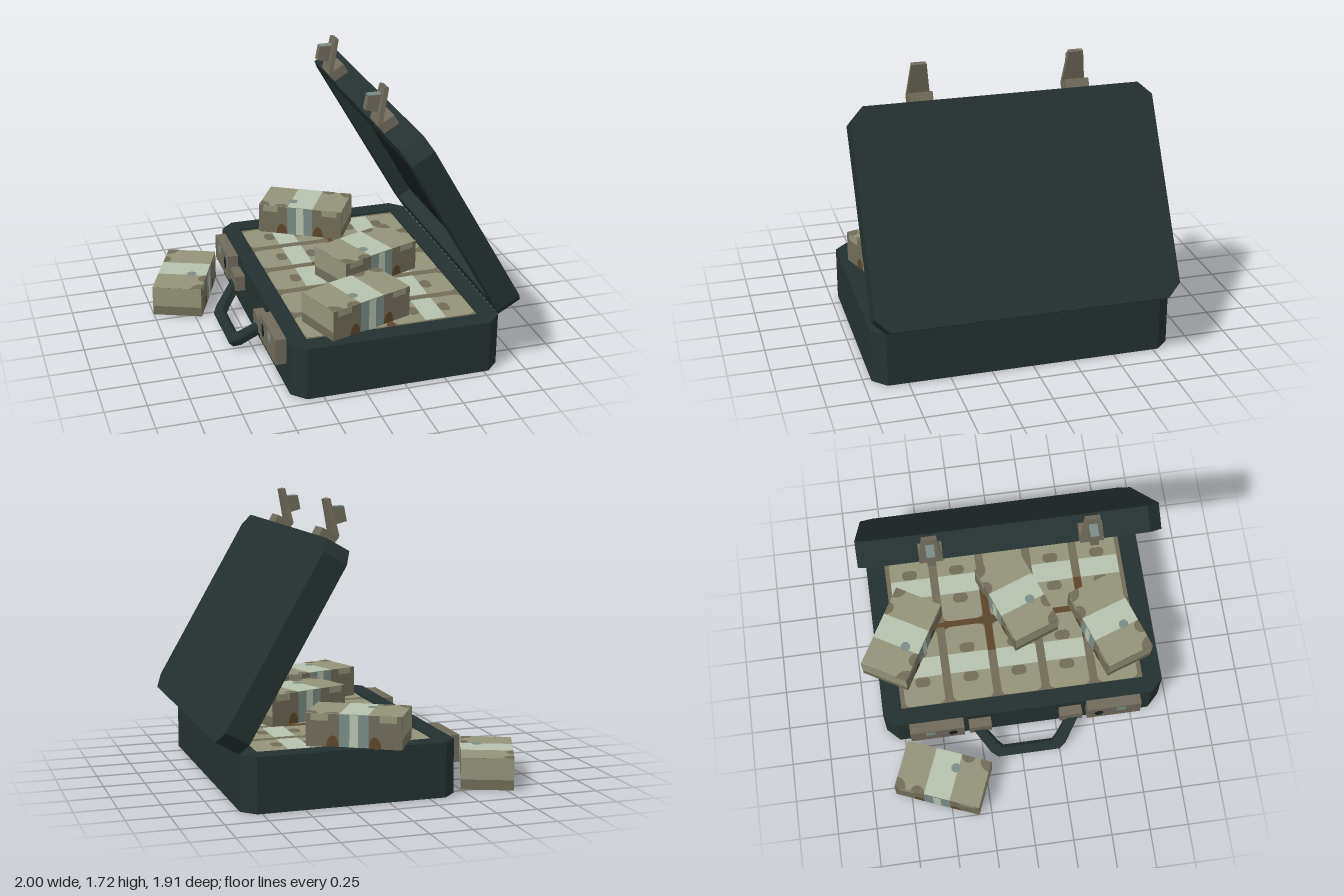
import * as THREE from 'three';

const mat = (name, color) => new THREE.MeshStandardMaterial({ name, color });

export function createModel() {
  const shell = mat('dark green shell', 0x243130);
  const lining = mat('dark lining', 0x172020);
  const tan = mat('note tan', 0x93937a);
  const khaki = mat('note khaki', 0x716c59);
  const band = mat('pale band', 0xb5c2ae);
  const teal = mat('band teal', 0x7a8c86);
  const brown = mat('brown', 0x5c462a);
  const metal = mat('latch metal', 0x6f6a5b);

  const model = new THREE.Group();
  model.name = 'openCase';

  const add = (parent, name, geo, material, x = 0, y = 0, z = 0) => {
    const mesh = new THREE.Mesh(geo, material);
    mesh.name = name;
    mesh.position.set(x, y, z);
    parent.add(mesh);
    return mesh;
  };
  const box = (parent, name, w, h, d, material, x, y, z) =>
    add(parent, name, new THREE.BoxGeometry(w, h, d), material, x, y, z);
  const poly = pts => new THREE.Shape(pts.map(p => new THREE.Vector2(...p)));
  // thin upward-facing patch
  const patch = (parent, name, geo, material, x, y, z) =>
    add(parent, name, geo.rotateX(-Math.PI / 2), material, x, y, z);

  // everything on the case is mirrored about this group's z = 0
  const brief = new THREE.Group();
  brief.name = 'case';
  brief.position.z = 0.045;
  model.add(brief);

  // chamfered outline in plan, x from x0 to x0 + L
  const L = 1.29, H = 0.907, C = 0.08, RIM = 0.11;
  const outline = x0 => poly([
    [x0 + C, -H], [x0 + L - C, -H], [x0 + L, -H + C], [x0 + L, H - C],
    [x0 + L - C, H], [x0 + C, H], [x0, H - C], [x0, -H + C]]);
  const slab = (x0, y0, y1, hollow) => {
    const s = outline(x0), a = x0 + RIM, b = x0 + L - RIM, h = H - RIM - 0.01;
    if (hollow) s.holes.push(new THREE.Path([[a, -h], [a, h], [b, h], [b, -h]].map(p => new THREE.Vector2(...p))));
    return new THREE.ExtrudeGeometry(s, { depth: y1 - y0, bevelEnabled: false }).rotateX(-Math.PI / 2).translate(0, y0, 0);
  };

  // base tray
  add(brief, 'baseFloor', slab(-0.43, 0, 0.1, false), shell);
  add(brief, 'baseWalls', slab(-0.43, 0.1, 0.328, true), shell);

  // lid, tilted about the hinge edge
  const lid = new THREE.Group();
  lid.name = 'lid';
  lid.position.set(0.86, 0.33, 0);
  lid.rotation.z = -Math.PI / 3;
  brief.add(lid);
  add(lid, 'lidWalls', slab(-L, 0, 0.1, true), shell);
  add(lid, 'lidPanel', slab(-L, 0.1, 0.157, false), shell);
  box(lid, 'lidLining', L - 2 * RIM, 0.006, 2 * (H - RIM - 0.01), lining, -L / 2, 0.098, 0);

  // packed contents: two columns of five bundles
  box(brief, 'packedNotes', L - 2 * RIM, 0.21, 1.574, khaki, 0.215, 0.21, 0);
  box(brief, 'centreGap', 0.05, 0.004, 1.56, brown, 0.215, 0.316, 0);
  const rounded = (w, h, r) => {
    const s = new THREE.Shape();
    s.moveTo(-w / 2 + r, -h / 2);
    for (const [x, y, a] of [[1, -1, -0.5], [1, 1, 0], [-1, 1, 0.5], [-1, -1, 1]])
      s.absarc(x * (w / 2 - r), y * (h / 2 - r), r, a * Math.PI, (a + 0.5) * Math.PI, false);
    return new THREE.ShapeGeometry(s, 3);
  };
  for (const side of [-1, 1]) for (let i = -2; i <= 2; i++) {
    const x = 0.215 + side * 0.275, z = i * 0.314, y = 0.319;
    patch(brief, 'packedTop', rounded(0.51, 0.26, 0.04), tan, x, y, z);
    patch(brief, 'packedBand', new THREE.PlaneGeometry(0.13, 0.26), band, x, y + 0.003, z);
    for (const s of [-1, 1])
      patch(brief, 'packedBlot', rounded(0.065, 0.1, 0.03), khaki, x + s * 0.1, y + 0.002, z);
    if (i < 2) patch(brief, 'packedShade', new THREE.PlaneGeometry(0.2, 0.05), i % 2 ? brown : khaki, x - side * 0.16, y, z + 0.157);
  }

  // loose bundle, long axis x
  const BL = 0.56, BH = 0.193, BW = 0.315;
  const bundle = (x, y, z, turn) => {
    const g = new THREE.Group();
    g.name = 'noteBundle';
    g.position.set(x, y, z);
    g.rotation.y = turn;
    model.add(g);
    box(g, 'notes', BL, BH, BW, [khaki, khaki, tan, khaki, khaki, khaki], 0, BH / 2, 0);
    // top face
    const top = BH + 0.002;
    patch(g, 'bandTop', new THREE.PlaneGeometry(0.17, BW), band, 0, top, 0);
    for (let q = 0; q < 4; q += 2) {
      const sx = q ? -1 : 1;
      patch(g, 'cornerBlot', new THREE.CircleGeometry(0.07, 6, q * Math.PI / 2, Math.PI / 2),
        khaki, -sx * BL / 2, top, sx * BW / 2);
      patch(g, 'edgeBlot', new THREE.CircleGeometry(0.045, 8, q * Math.PI / 2, Math.PI),
        khaki, -sx * 0.13, top, sx * BW / 2);
    }
    patch(g, 'tealBlot', new THREE.CircleGeometry(0.032, 8), teal, -0.07, top + 0.002, 0.06);
    // underside band
    add(g, 'bandBottom', new THREE.PlaneGeometry(0.17, BW).rotateX(Math.PI / 2), teal, 0, -0.001, 0);
    // long sides and ends
    for (const s of [0, 1]) {
      const face = new THREE.Group();
      face.name = 'bundleSide';
      face.rotation.y = s * Math.PI;
      g.add(face);
      const d = BW / 2 + 0.002;
      add(face, 'bandSide', new THREE.PlaneGeometry(0.17, BH), teal, 0, BH / 2, d);
      add(face, 'bandStripe', new THREE.PlaneGeometry(0.05, BH), band, 0, BH / 2, d + 0.002);
      for (const k of [-1, 1]) {
        add(face, 'sideBlot', new THREE.CircleGeometry(0.036, 8, 0, Math.PI).scale(1, 1.9, 1), brown, k * 0.123, 0.002, d);
        add(face, 'sidePatch', new THREE.PlaneGeometry(0.1, 0.04), tan, k * 0.2, BH - 0.02, d);
      }
      add(face, 'endPatch', new THREE.PlaneGeometry(BW, BH * 0.68).rotateY(Math.PI / 2), tan, BL / 2 + 0.002, BH * 0.66, 0);
    }
  };
  bundle(-0.75, 0, -0.53, 1.18);
  bundle(0.12, 0.324, -0.68, -0.527);
  bundle(0.287, 0.324, 0.09, 0.358);
  bundle(0.035, 0.324, 0.664, 0.332);

  // carrying handle, hanging at 45 degrees
  const grip = poly([[-0.36, 0], [-0.245, 0.215], [-0.2, 0.255], [0.2, 0.255], [0.245, 0.215], [0.36, 0],
    [0.285, 0], [0.195, 0.15], [0.16, 0.19], [-0.16, 0.19], [-0.195, 0.15], [-0.285, 0]]);
  const gripGeo = new THREE.ExtrudeGeometry(grip, { depth: 0.036, bevelThickness: 0.01, bevelSize: 0.008, bevelOffset: -0.008, bevelSegments: 1 })
    .translate(0, 0, -0.018);
  const r = Math.SQRT1_2;
  gripGeo.applyMatrix4(new THREE.Matrix4().makeBasis(
    new THREE.Vector3(0, 0, 1), new THREE.Vector3(-r, -r, 0), new THREE.Vector3(r, -r, 0)));
  add(brief, 'handle', gripGeo, shell, -0.45, 0.205, 0);

  // parts cut from a side profile and given a width along z
  const profile = (pts, w) => new THREE.ExtrudeGeometry(poly(pts), { depth: w, bevelEnabled: false }).translate(0, 0, -w / 2);
  for (const s of [-1, 1]) {
    box(brief, 'handleMount', 0.065, 0.1, 0.145, metal, -0.46, 0.215, s * 0.295);
    // lock plate with its catch opening
    box(brief, 'lockPlate', 0.07, 0.163, 0.35, metal, -0.463, 0.246, s * 0.575);
    add(brief, 'catchOpening', new THREE.CircleGeometry(0.03, 10).scale(1, 1.5, 1).rotateY(-Math.PI / 2),
      lining, -0.5, 0.25, s * 0.475);
    box(brief, 'lockButton', 0.006, 0.05, 0.06, teal, -0.498, 0.28, s * 0.62);
    // hasp on the lid edge
    add(brief, 'haspBlock', profile([[0.22, 1.45], [0.31, 1.5], [0.28, 1.555], [0.18, 1.5]], 0.14), metal, 0, 0, s * 0.4725);
    const hasp = profile([[0.18, 1.505], [0.21, 1.505], [0.225, 1.58], [0.253, 1.712], [0.226, 1.72], [0.2, 1.6]], 0.14);
    const p = hasp.attributes.position;
    for (let i = 0; i < p.count; i++) // narrow towards the tip
      p.setZ(i, p.getZ(i) * (1 - 0.38 * (p.getY(i) - 1.505) / 0.215));
    hasp.computeVertexNormals();
    add(brief, 'hasp', hasp, metal, 0, 0, s * 0.4725);
    add(brief, 'haspKnob', profile([[0.12, 1.585], [0.195, 1.565], [0.217, 1.67], [0.137, 1.67]], 0.05), metal, 0, 0, s * 0.4725);
    add(brief, 'knobTip', profile([[0.137, 1.67], [0.217, 1.67], [0.217, 1.674], [0.137, 1.674]], 0.05), teal, 0, 0, s * 0.4725);
  }
  return model;
}
